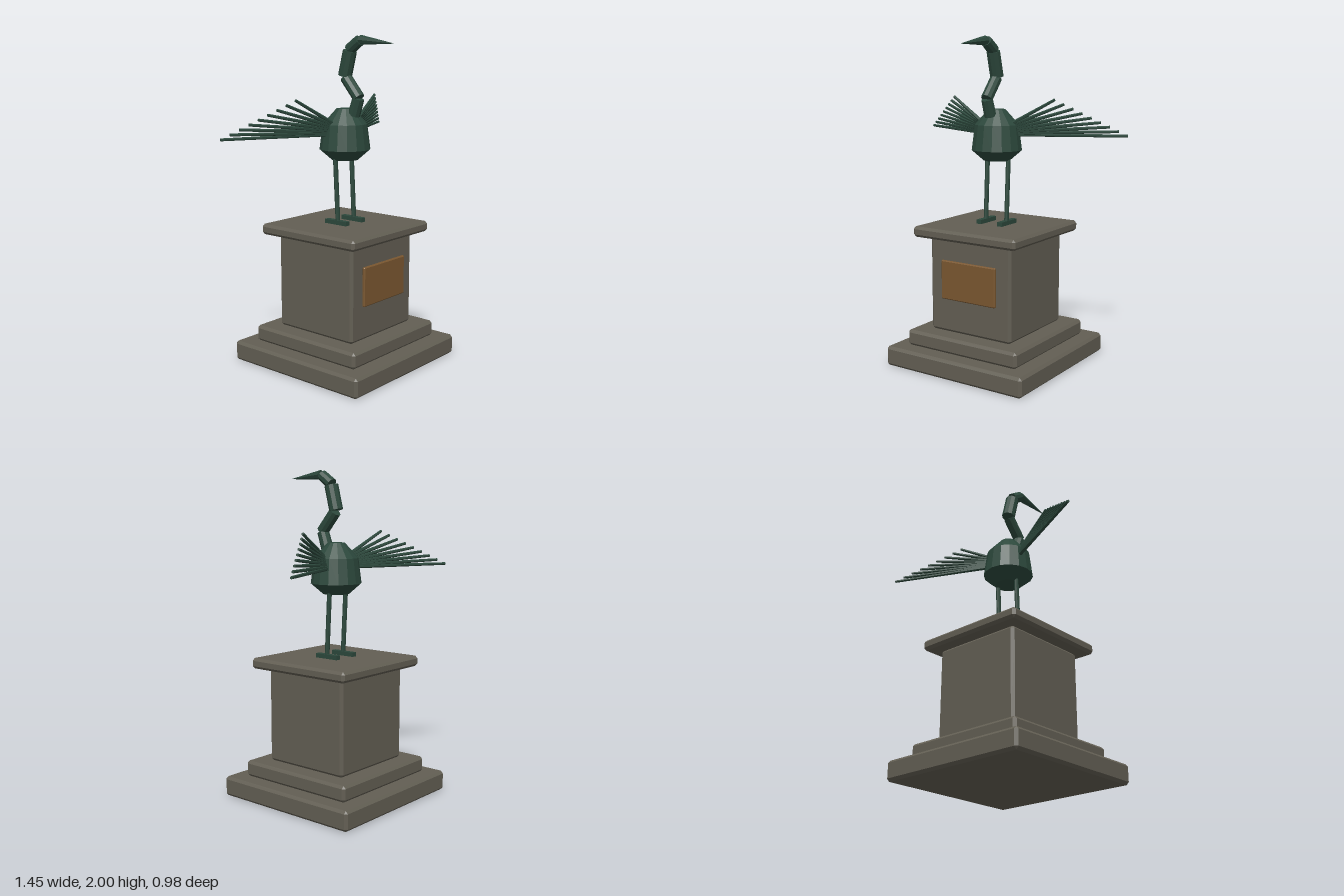
import * as THREE from 'three';
import { ConvexGeometry } from 'three/addons/geometries/ConvexGeometry.js';

const mat = (name, color) => {
  const m = new THREE.MeshStandardMaterial({ color, flatShading: true });
  m.name = name;
  return m;
};

// Box with every edge chamfered by c, spanning y0..y1
function chamferBox(w, y0, y1, d, c) {
  const h = (y1 - y0) / 2, pts = [];
  for (const sx of [-1, 1]) for (const sy of [-1, 1]) for (const sz of [-1, 1]) {
    const x = w / 2, z = d / 2;
    pts.push(
      new THREE.Vector3(sx * x, sy * (h - c), sz * (z - c)),
      new THREE.Vector3(sx * (x - c), sy * h, sz * (z - c)),
      new THREE.Vector3(sx * (x - c), sy * (h - c), sz * z));
  }
  return new ConvexGeometry(pts).translate(0, (y0 + y1) / 2, 0);
}

// Cylinder or cone from point a (radius ra) to point b (radius rb)
function rod(a, b, ra, rb, sides) {
  const A = new THREE.Vector3(...a), B = new THREE.Vector3(...b);
  const dir = B.clone().sub(A);
  const g = new THREE.CylinderGeometry(rb, ra, dir.length(), sides);
  g.applyQuaternion(new THREE.Quaternion().setFromUnitVectors(
    new THREE.Vector3(0, 1, 0), dir.normalize()));
  const mid = A.add(B).multiplyScalar(0.5);
  return g.translate(mid.x, mid.y, mid.z);
}

export function createModel() {
  const stone = mat('stone', 0x625e53);
  const patina = mat('green patina', 0x2c483c);
  const bronze = mat('bronze', 0x7a5730);
  const model = new THREE.Group();
  model.name = 'birdStatue';
  const add = (parent, name, geometry, material) => {
    const mesh = new THREE.Mesh(geometry, material);
    mesh.name = name;
    parent.add(mesh);
    return mesh;
  };

  // Pedestal: two steps, shaft and cap
  const pedestal = new THREE.Group();
  pedestal.name = 'pedestal';
  model.add(pedestal);
  for (const [name, w, y0, y1] of [
    ['lowerStep', 0.98, 0, 0.122], ['upperStep', 0.79, 0.122, 0.22],
    ['shaft', 0.58, 0.22, 0.802], ['cap', 0.733, 0.802, 0.867],
  ]) add(pedestal, name, chamferBox(w, y0, y1, w, 0.016), stone);
  add(pedestal, 'plaque', chamferBox(0.39, 0.43, 0.67, 0.02, 0.006), bronze)
    .position.z = 0.3;

  const bird = new THREE.Group();
  bird.name = 'bird';
  model.add(bird);

  // Faceted body
  const profile = [[0, 1.257], [0.08, 1.257], [0.155, 1.322], [0.135, 1.475], [0.052, 1.567], [0, 1.567]]
    .map(([r, y]) => new THREE.Vector2(r, y));
  add(bird, 'body', new THREE.LatheGeometry(profile, 16), patina).position.z = -0.004;

  // Neck of straight segments, then head and beak: [y0, z0, y1, z1, r0, r1]
  const neck = [
    [1.53, 0.066, 1.63, 0.1, 0.038, 0.036],
    [1.633, 0.104, 1.752, 0.003, 0.036, 0.036],
    [1.76, -0.004, 1.908, 0.034, 0.042, 0.042],
    [1.916, 0.033, 1.969, 0.108, 0.036, 0.034],
  ];
  neck.forEach(([y0, z0, y1, z1, r0, r1], i) =>
    add(bird, i < 3 ? 'neckSegment' : 'head', rod([0, y0, z0], [0, y1, z1], r0, r1, 10), patina));
  add(bird, 'beak', rod([0, 1.972, 0.115], [0, 1.951, 0.357], 0.029, 0.001, 8), patina);

  for (const s of [1, -1]) {
    const side = s > 0 ? 'left' : 'right';

    // Legs and feet
    add(bird, side + 'Leg', rod([s * 0.076, 0.88, 0.004], [s * 0.076, 1.3, -0.017], 0.0145, 0.0145, 8), patina);
    add(bird, side + 'Foot', new THREE.BoxGeometry(0.034, 0.026, 0.165), patina)
      .position.set(s * 0.076, 0.88, -0.002);

    // Wing: a fan of feathers, longest at the bottom
    const wing = new THREE.Group();
    wing.name = side + 'Wing';
    bird.add(wing);
    const count = 9;
    for (let i = 0; i < count; i++) {
      const t = i / (count - 1), mix = (a, b) => a + (b - a) * t;
      add(wing, 'feather', rod(
        [s * 0.11, mix(1.417, 1.485), mix(-0.032, -0.005)],
        [s * mix(0.724, 0.366), mix(1.417, 1.63), mix(-0.312, -0.066)],
        0.012, 0.0085, 6), patina);
    }
  }
  return model;
}
